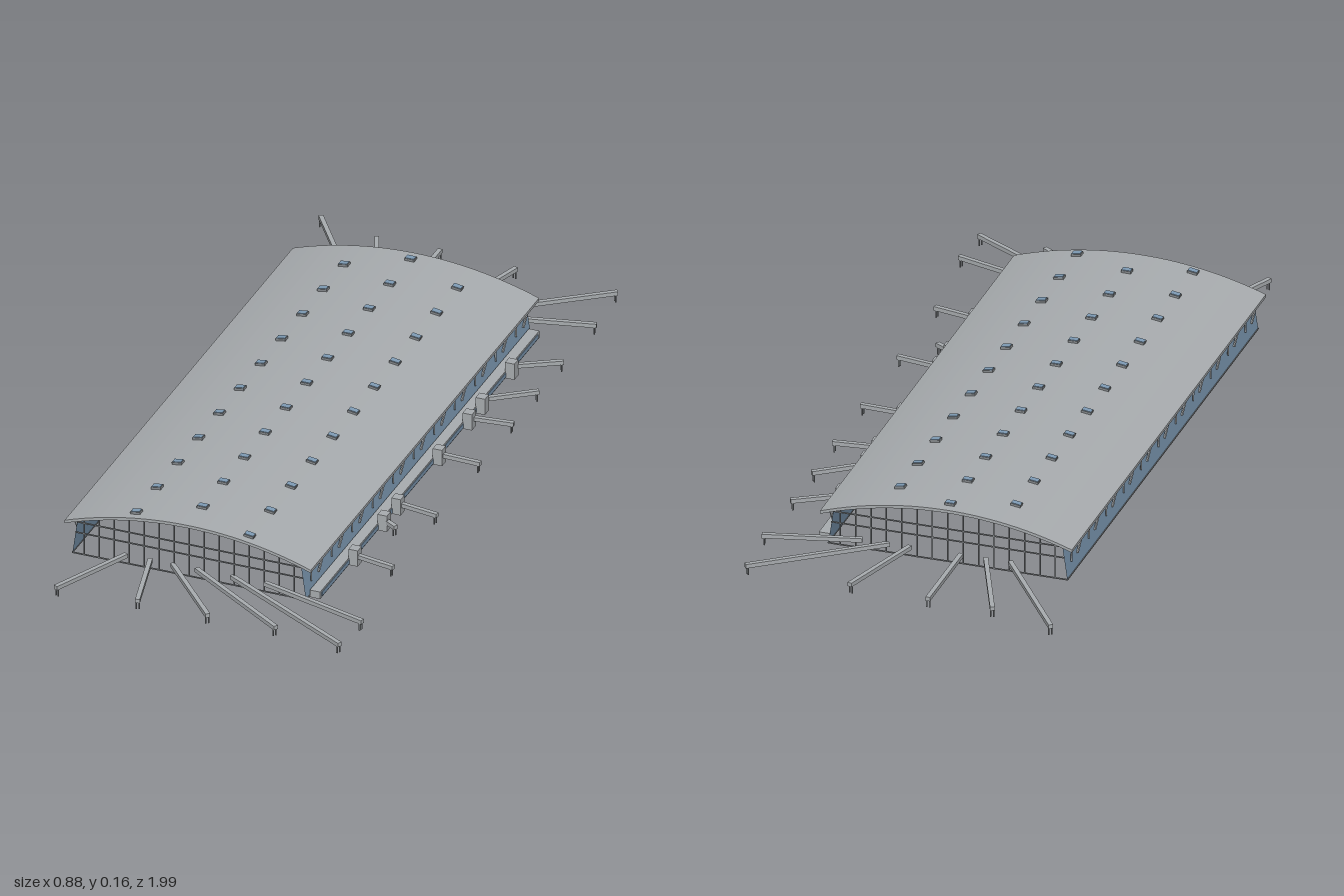
import * as THREE from 'three';

const mat = (name, color, side = THREE.FrontSide) => {
  const m = new THREE.MeshStandardMaterial({ color, side });
  m.name = name;
  return m;
};

export function createModel() {
  const grey = mat('roof grey', 0xa9adb0);
  const steel = mat('steel grey', 0x84888b);
  const glass = mat('blue glass', 0x7f9cb6, THREE.DoubleSide);

  const model = new THREE.Group();
  model.name = 'terminalHall';
  const CX = -0.065, R = 0.998, TOP = 0.152, HALF = 0.332, THICK = 0.008;
  const Z0 = -0.71, Z1 = 0.78, WALL_BACK = -0.695, WALL_FRONT = 0.77;
  const roofY = d => TOP - R + Math.sqrt(R * R - d * d);
  const V = (x, y, z) => new THREE.Vector3(x, y, z);

  const add = (name, geo, material, parent = model) => {
    const m = new THREE.Mesh(geo, material);
    m.name = name;
    parent.add(m);
    return m;
  };
  const box = (name, material, w, h, d, x, y, z, parent) => {
    const m = add(name, new THREE.BoxGeometry(w, h, d), material, parent);
    m.position.set(x, y, z);
    return m;
  };
  // Straight bar between two points
  const beam = (name, material, a, b, w, h, parent) => {
    const m = box(name, material, w, h, a.distanceTo(b), 0, 0, 0, parent);
    m.position.copy(a).add(b).multiplyScalar(0.5);
    m.lookAt(b);
    return m;
  };
  const group = name => {
    const g = new THREE.Group();
    g.name = name;
    model.add(g);
    return g;
  };

  // Curved roof shell
  const N = 28, outer = [], inner = [];
  for (let i = 0; i <= N; i++) {
    const d = -HALF + (2 * HALF * i) / N;
    outer.push(new THREE.Vector2(CX + d, roofY(d)));
    inner.unshift(new THREE.Vector2(CX + d, roofY(d) - THICK));
  }
  const roof = add('roof', new THREE.ExtrudeGeometry(new THREE.Shape([...outer, ...inner]),
    { depth: Z1 - Z0, bevelEnabled: false }), grey);
  roof.position.z = Z0;

  // Skylights in three rows
  const skylights = group('skylights');
  [[-0.15, 0.07], [0, 0], [0.155, 0.07]].forEach(([d, shift]) => {
    for (let i = 0; i < 11; i++) {
      const s = new THREE.Group();
      s.name = 'skylight';
      s.position.set(CX + d, roofY(d), -0.675 + i * 0.1355 + shift);
      s.rotation.z = -Math.asin(d / R);
      box('skylightCurb', steel, 0.026, 0.012, 0.019, 0, 0, 0, s);
      box('skylightPane', glass, 0.023, 0.002, 0.016, 0, 0.0065, 0, s);
      skylights.add(s);
    }
  });

  // Leaning glass side walls with slanted struts
  for (const side of [-1, 1]) {
    const wall = group(side > 0 ? 'leftWall' : 'rightWall');
    const xb = CX + side * 0.315, xt = CX + side * 0.301, yt = roofY(0.301) - THICK + 0.002;
    const pane = new THREE.PlaneGeometry(WALL_FRONT - WALL_BACK, 1).rotateY(side * Math.PI / 2);
    const p = pane.attributes.position;
    for (let i = 0; i < p.count; i++) {
      const up = p.getY(i) > 0;
      p.setXYZ(i, up ? xt : xb, up ? yt : 0, p.getZ(i) + (WALL_FRONT + WALL_BACK) / 2);
    }
    pane.computeVertexNormals();
    add('sideGlass', pane, glass, wall);
    for (let i = 0; i < 22; i++) {
      const z = WALL_BACK + 0.03 + i * 0.0668, lean = i % 2 ? 0.01 : -0.01;
      beam('strut', grey, V(CX + side * 0.312, 0.035, z - lean),
        V(CX + side * 0.32, 0.092, z + lean), 0.004, 0.005, wall);
    }
    beam('sill', steel, V(xb, 0.002, WALL_BACK), V(xb, 0.002, WALL_FRONT), 0.003, 0.003, wall);
  }

  // Open frames at both ends
  for (const [name, z] of [['frontFrame', WALL_FRONT], ['backFrame', WALL_BACK]]) {
    const frame = group(name);
    for (let i = -7; i <= 7; i++) {
      const d = i * 0.0405, h = roofY(d) - THICK / 2;
      box('mullion', steel, 0.003, h, 0.003, CX + d, h / 2, z, frame);
    }
    for (const [y, half] of [[0.002, 0.315], [0.062, 0.307], [0.092, 0.302]])
      box('transom', steel, 2 * half, 0.003, 0.003, CX, y, z, frame);
  }

  // Low gate concourse along the left side
  box('concourse', grey, 0.028, 0.02, 1.43, 0.266, 0.01, 0.035);
  box('concourseWindow', glass, 0.002, 0.012, 1.41, 0.2805, 0.009, 0.035);
  for (const z of [-0.472, -0.28, -0.195, 0, 0.27, 0.36, 0.55])
    box('gateHouse', grey, 0.025, 0.045, 0.026, 0.2915, 0.0225, z);

  // Boarding bridges: start x, z and end x, z
  const bridges = [
    [-0.23, WALL_BACK, -0.44, -0.996], [-0.165, WALL_BACK, -0.27, -0.95],
    [-0.1, WALL_BACK, -0.1, -0.952], [0.035, WALL_BACK, 0.11, -0.94],
    [0.09, WALL_BACK, 0.39, -0.925], [0.16, WALL_BACK, 0.405, -0.753],
    [0.285, -0.48, 0.4, -0.55], [0.285, -0.3, 0.4, -0.387],
    [0.295, -0.2, 0.405, -0.212], [0.295, 0, 0.405, 0.005],
    [0.295, 0.27, 0.405, 0.288], [0.295, 0.362, 0.333, 0.385],
    [0.295, 0.552, 0.405, 0.574],
    [-0.235, WALL_FRONT, -0.335, 0.99], [-0.17, WALL_FRONT, -0.12, 0.975],
    [-0.11, WALL_FRONT, 0.07, 0.975], [-0.045, WALL_FRONT, 0.25, 0.967],
    [0.05, WALL_FRONT, 0.43, 0.985], [0.14, WALL_FRONT, 0.438, 0.857],
  ];
  for (const [x0, z0, x1, z1] of bridges) {
    const b = group('boardingBridge');
    const a = V(x0, 0.025, z0), e = V(x1, 0.025, z1);
    beam('bridgeTunnel', grey, a, e, 0.012, 0.011, b);
    // Pair of legs just inside the outer end
    const dir = e.clone().sub(a).normalize();
    for (const s of [-1, 1])
      box('bridgeLeg', steel, 0.003, 0.021, 0.003,
        x1 - dir.x * 0.006 + s * dir.z * 0.004, 0.0105, z1 - dir.z * 0.006 - s * dir.x * 0.004, b);
  }
  return model;
}
